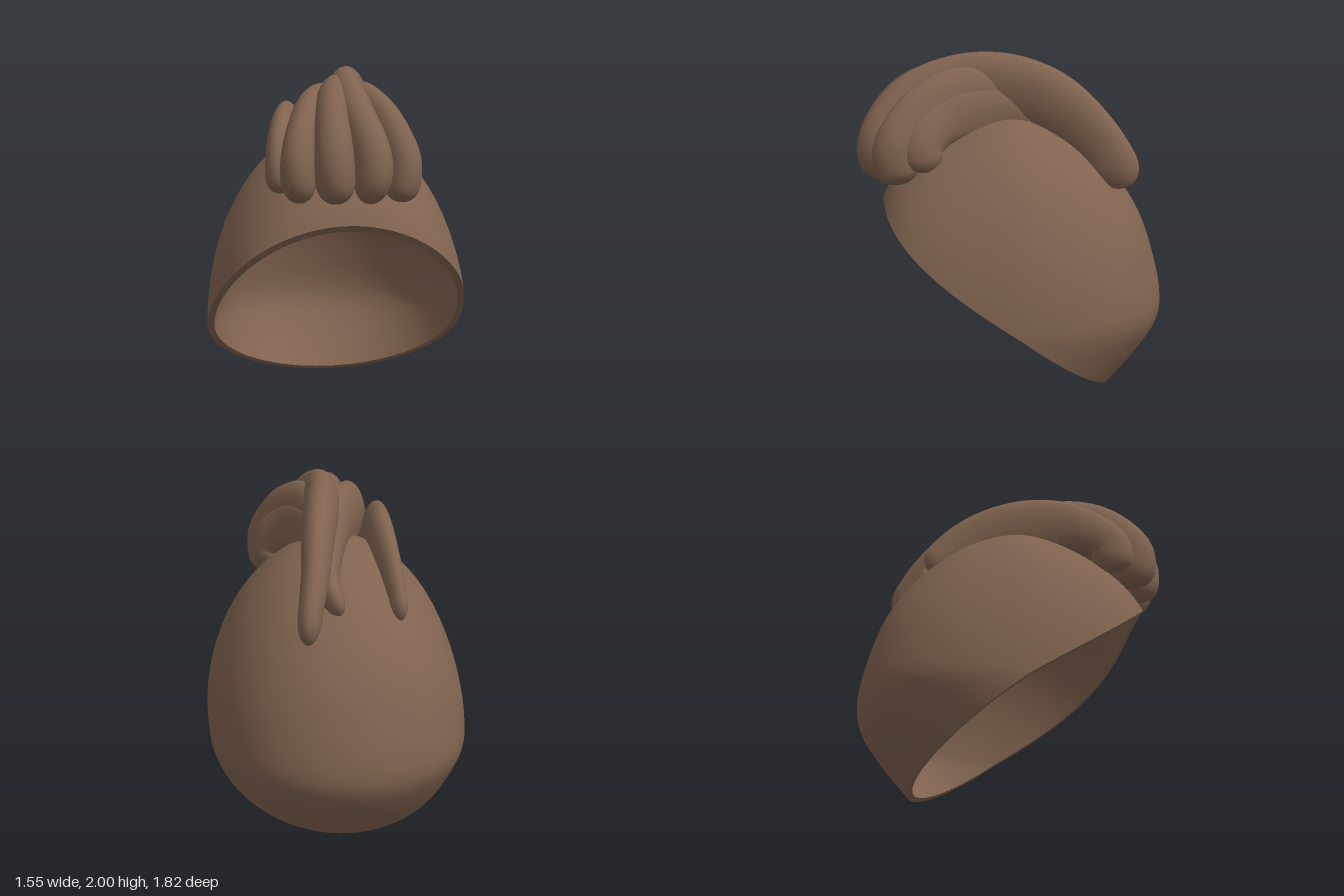
import * as THREE from 'three';
import { mergeVertices } from 'three/addons/utils/BufferGeometryUtils.js';

// Smooth surface from a rule point(u, v), with u and v in 0..1
function surface(rows, cols, point, flip) {
  const pos = [], idx = [];
  for (let i = 0; i <= rows; i++)
    for (let j = 0; j <= cols; j++) pos.push(...point(i / rows, j / cols).toArray());
  for (let i = 0; i < rows; i++)
    for (let j = 0; j < cols; j++) {
      const a = i * (cols + 1) + j, b = a + 1, c = a + cols + 1, d = c + 1;
      if (flip) idx.push(a, c, b, b, c, d);
      else idx.push(a, b, c, b, d, c);
    }
  let geo = new THREE.BufferGeometry();
  geo.setAttribute('position', new THREE.Float32BufferAttribute(pos, 3));
  geo.setIndex(idx);
  geo = mergeVertices(geo, 1e-4);
  geo.computeVertexNormals();
  return geo;
}

const curve = (pts) => new THREE.CatmullRomCurve3(pts.map((p) => new THREE.Vector3(...p)));

// Middle outline of the cap, from the forehead over the crown to the nape
const outline = curve([
  [0, 1.14, 0.765], [0, 1.26, 0.7], [0, 1.4, 0.57], [0, 1.52, 0.4], [0, 1.615, 0.2], [0, 1.65, 0],
  [0, 1.6, -0.2], [0, 1.48, -0.41], [0, 1.285, -0.61], [0, 1.05, -0.765], [0, 0.8, -0.855],
  [0, 0.54, -0.907], [0, 0.4, -0.89], [0, 0.22, -0.78], [0, 0.005, -0.6],
]);
const MID_Y = 0.45, HALF_WIDTH = 0.775;

// Point on the cap: u runs front to nape, v from side to side, s scales inward
function capPoint(u, v, s) {
  const p = outline.getPoint(u);
  const phi = (v - 0.5) * Math.PI, c = Math.cos(phi), w = Math.sin(phi);
  // fuller temples in front, fuller corners behind
  const front = 0.28 * Math.max(0, 1 - u * 2.5);
  const back = 0.12 * Math.sin(Math.PI * THREE.MathUtils.clamp((u - 0.45) / 0.55, 0, 1));
  return new THREE.Vector3(
    HALF_WIDTH * w * s,
    MID_Y + (p.y - MID_Y) * c * s,
    (p.z * c + (front - back) * w * w * c) * s,
  );
}

// Lock of hair: an oval section swept from its blunt front end to its thinner back tip
function lockGeometry(points, width, height) {
  const path = curve(points), core = new THREE.Vector3(0, 0.6, 0);
  const round = (t) => Math.sqrt(1 - (1 - Math.min(1, t)) ** 2);
  return surface(48, 20, (row, v) => {
    const u = 0.5 - 0.5 * Math.cos(row * Math.PI); // closer rings at both ends
    const p = path.getPointAt(u), t = path.getTangentAt(u);
    const n = p.clone().sub(core);
    n.x *= 0.4;
    n.addScaledVector(t, -n.dot(t)).normalize();
    const side = new THREE.Vector3().crossVectors(t, n);
    const taper = 1 - 0.38 * THREE.MathUtils.smoothstep(u, 0.5, 1);
    const swell = 0.8 + 0.2 * THREE.MathUtils.smoothstep(u, 0.1, 0.4);
    const k = round(u / 0.08) * round((1 - u) / 0.07) * taper;
    const a = v * Math.PI * 2, up = Math.sin(a);
    // the underside reaches down into the cap
    const depth = up < 0 ? 1 + 0.45 * THREE.MathUtils.smoothstep(u, 0.2, 0.5) : 1;
    return p.addScaledVector(side, Math.cos(a) * width * k)
      .addScaledVector(n, up * height * k * swell * depth);
  }, true);
}

export function createModel() {
  const model = new THREE.Group();
  model.name = 'hair';
  const brown = new THREE.MeshStandardMaterial({ color: 0x80634f });
  brown.name = 'brown hair';
  const add = (name, geo) => {
    const mesh = new THREE.Mesh(geo, brown);
    mesh.name = name;
    model.add(mesh);
  };

  // Hollow cap with a thin rim
  const INNER = 0.947;
  add('capOutside', surface(48, 40, (u, v) => capPoint(u, v, 1), false));
  add('capInside', surface(48, 40, (u, v) => capPoint(u, v, INNER), true));
  add('frontRim', surface(1, 40, (u, v) => capPoint(0, v, 1 - u * (1 - INNER)), true));
  add('backRim', surface(1, 40, (u, v) => capPoint(1, v, 1 - u * (1 - INNER)), false));

  // Swept-forward locks on the crown
  const locks = {
    mainLock: [[[0.1, 1.26, 0.74], [0.12, 1.48, 0.77], [0.05, 1.7, 0.6], [0.025, 1.81, 0.3], [0.065, 1.82, 0.05],
      [0.15, 1.74, -0.23], [0.22, 1.56, -0.46], [0.28, 1.38, -0.6], [0.31, 1.23, -0.66]], 0.108, 0.175],
    centreLock: [[[-0.08, 1.26, 0.75], [-0.09, 1.48, 0.77], [-0.08, 1.69, 0.6], [-0.04, 1.78, 0.35],
      [0.03, 1.76, 0.05], [0.11, 1.64, -0.2], [0.18, 1.46, -0.4]], 0.11, 0.17],
    rightLock: [[[-0.27, 1.26, 0.68], [-0.28, 1.48, 0.7], [-0.22, 1.66, 0.53], [-0.14, 1.73, 0.3],
      [-0.02, 1.72, 0.05], [0.08, 1.59, -0.2], [0.13, 1.46, -0.4], [0.1, 1.37, -0.56]], 0.1, 0.17],
    leftLock: [[[0.28, 1.26, 0.67], [0.3, 1.46, 0.68], [0.21, 1.66, 0.51], [0.12, 1.75, 0.3],
      [0.08, 1.73, 0.05], [0.11, 1.6, -0.25]], 0.1, 0.17],
    leftUnderLock: [[[0.32, 1.33, 0.52], [0.31, 1.49, 0.52], [0.2, 1.64, 0.36], [0.12, 1.66, 0.1],
      [0.12, 1.55, -0.2], [0.15, 1.38, -0.45]], 0.075, 0.15],
    rightSideLock: [[[-0.37, 1.3, 0.54], [-0.37, 1.47, 0.54], [-0.34, 1.59, 0.36], [-0.29, 1.64, 0.12],
      [-0.26, 1.58, -0.15], [-0.255, 1.45, -0.37], [-0.255, 1.28, -0.53]], 0.08, 0.16],
  };
  for (const [name, [points, width, height]] of Object.entries(locks))
    add(name, lockGeometry(points, width, height));

  return model;
}
